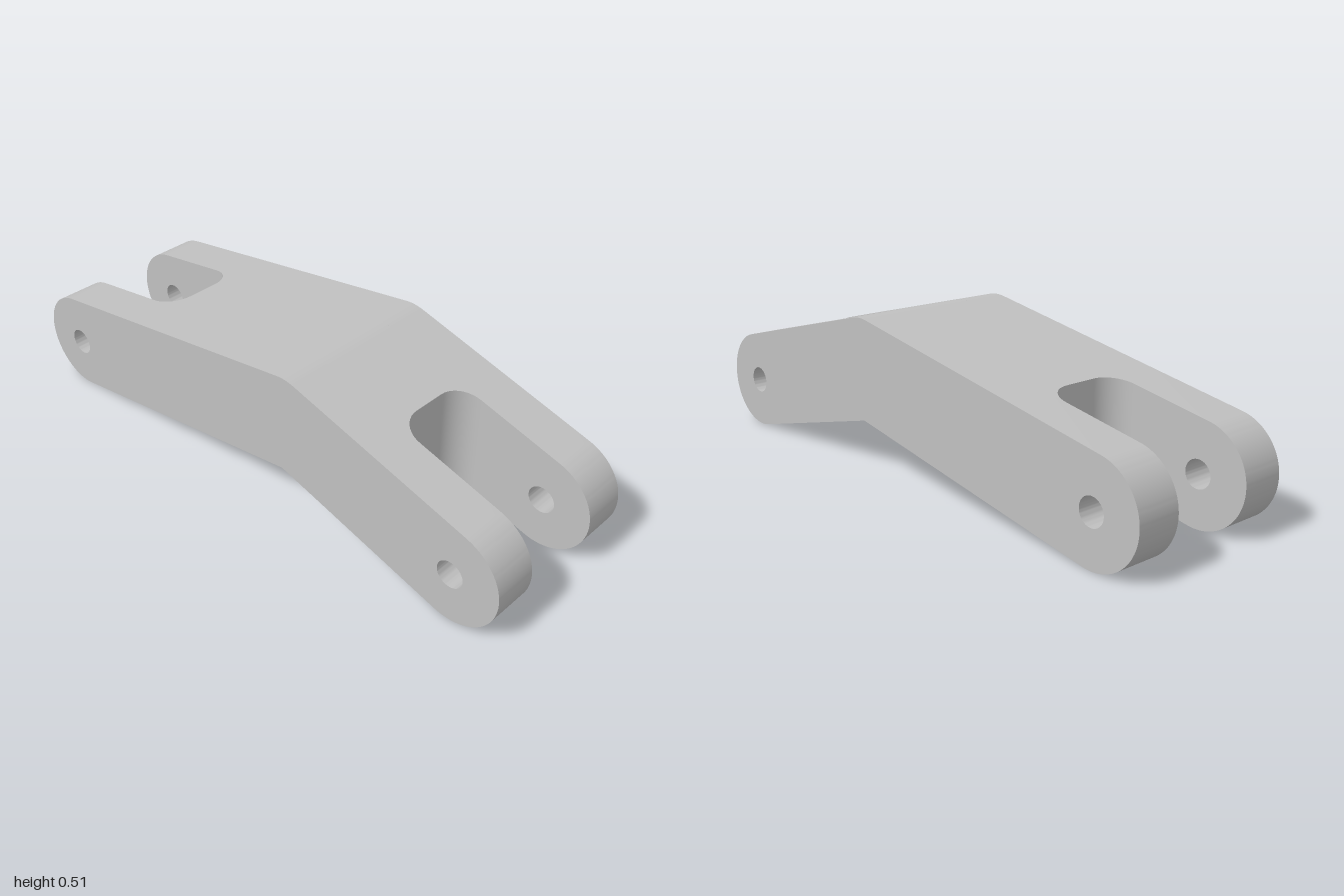
import * as THREE from 'three';
import { toCreasedNormals } from 'three/addons/utils/BufferGeometryUtils.js';

const R = 0.167;                       // half depth of the arms
const PIN = { x: 0.833, y: 0.167 };    // pin centres at +x and -x
const BEND = { x: 0.187, y: 0.34 };    // centreline bend
const Z_IN = 0.142, Z_OUT = 0.292;     // inner and outer faces of the cheeks
const SLOT = 0.5, FILLET = 0.085;      // slot floor and its corner radius
const CREASE = 0.3;

const tL = Math.atan2(BEND.y - PIN.y, BEND.x + PIN.x);
const tR = Math.atan2(BEND.y - PIN.y, PIN.x - BEND.x);
const tilt = (tR - tL) / 2, mitre = R / Math.cos((tL + tR) / 2);
const under = { x: BEND.x - mitre * Math.sin(tilt), y: BEND.y - mitre * Math.cos(tilt) };

// Height of the upper (side = 1) or lower (side = -1) edge on a straight arm
function edgeY(x, side) {
  const t = x < BEND.x ? tL : tR;
  return BEND.y - Math.abs(x - BEND.x) * Math.tan(t) + side * R / Math.cos(t);
}

// One bent side plate with rounded ends and pin holes
function cheekGeometry() {
  const q = Math.PI / 2;
  const s = new THREE.Shape();
  s.absarc(-PIN.x, PIN.y, R, q + tL, 3 * q + tL, false);
  s.lineTo(under.x, under.y);
  s.absarc(PIN.x, PIN.y, R, 3 * q - tR, 5 * q - tR, false);
  s.absarc(BEND.x, BEND.y, R, q - tR, q + tL, false);
  s.closePath();
  for (const x of [-PIN.x, PIN.x]) {
    const hole = new THREE.Path();
    hole.absarc(x, PIN.y, 0.045, 0, Math.PI * 2, true);
    s.holes.push(hole);
  }
  const g = new THREE.ExtrudeGeometry(s, { depth: Z_OUT - Z_IN, bevelEnabled: false, curveSegments: 32 });
  return toCreasedNormals(g, CREASE);
}

// Solid middle between the cheeks: rings in z whose ends follow the filleted slots
function webGeometry() {
  const sections = [], steps = 10;
  for (let i = 0; i <= steps; i++) {
    const a = (i / steps) * Math.PI / 2;
    sections.push([-Z_IN + FILLET * (1 - Math.cos(a)), SLOT + FILLET * (1 - Math.sin(a))]);
  }
  sections.push(...sections.map(([z, x]) => [-z, x]).reverse());

  const rings = sections.map(([z, x]) => {
    const ring = [[-x, edgeY(-x, -1), z], [under.x, under.y, z], [x, edgeY(x, -1), z], [x, edgeY(x, 1), z]];
    for (let i = 0; i <= 6; i++) {
      const a = Math.PI / 2 - tR + (tL + tR) * i / 6;
      ring.push([BEND.x + R * Math.cos(a), BEND.y + R * Math.sin(a), z]);
    }
    ring.push([-x, edgeY(-x, 1), z]);
    return ring;
  });

  const pos = [];
  for (let j = 0; j < rings.length - 1; j++) {
    const p = rings[j], n = rings[j + 1];
    for (let i = 0; i < p.length; i++) {
      const k = (i + 1) % p.length;
      pos.push(...p[i], ...p[k], ...n[k], ...p[i], ...n[k], ...n[i]);
    }
  }
  const g = new THREE.BufferGeometry();
  g.setAttribute('position', new THREE.Float32BufferAttribute(pos, 3));
  return toCreasedNormals(g, CREASE);
}

export function createModel() {
  const group = new THREE.Group();
  group.name = 'bentLinkArm';
  const metal = new THREE.MeshStandardMaterial({ color: 0xc0c0c0 });
  metal.name = 'grey metal';

  const cheek = cheekGeometry();
  for (const [name, z] of [['frontCheek', Z_IN], ['backCheek', -Z_OUT]]) {
    const m = new THREE.Mesh(cheek, metal);
    m.name = name;
    m.position.z = z;
    group.add(m);
  }

  const web = new THREE.Mesh(webGeometry(), metal);
  web.name = 'centreWeb';
  group.add(web);
  return group;
}
